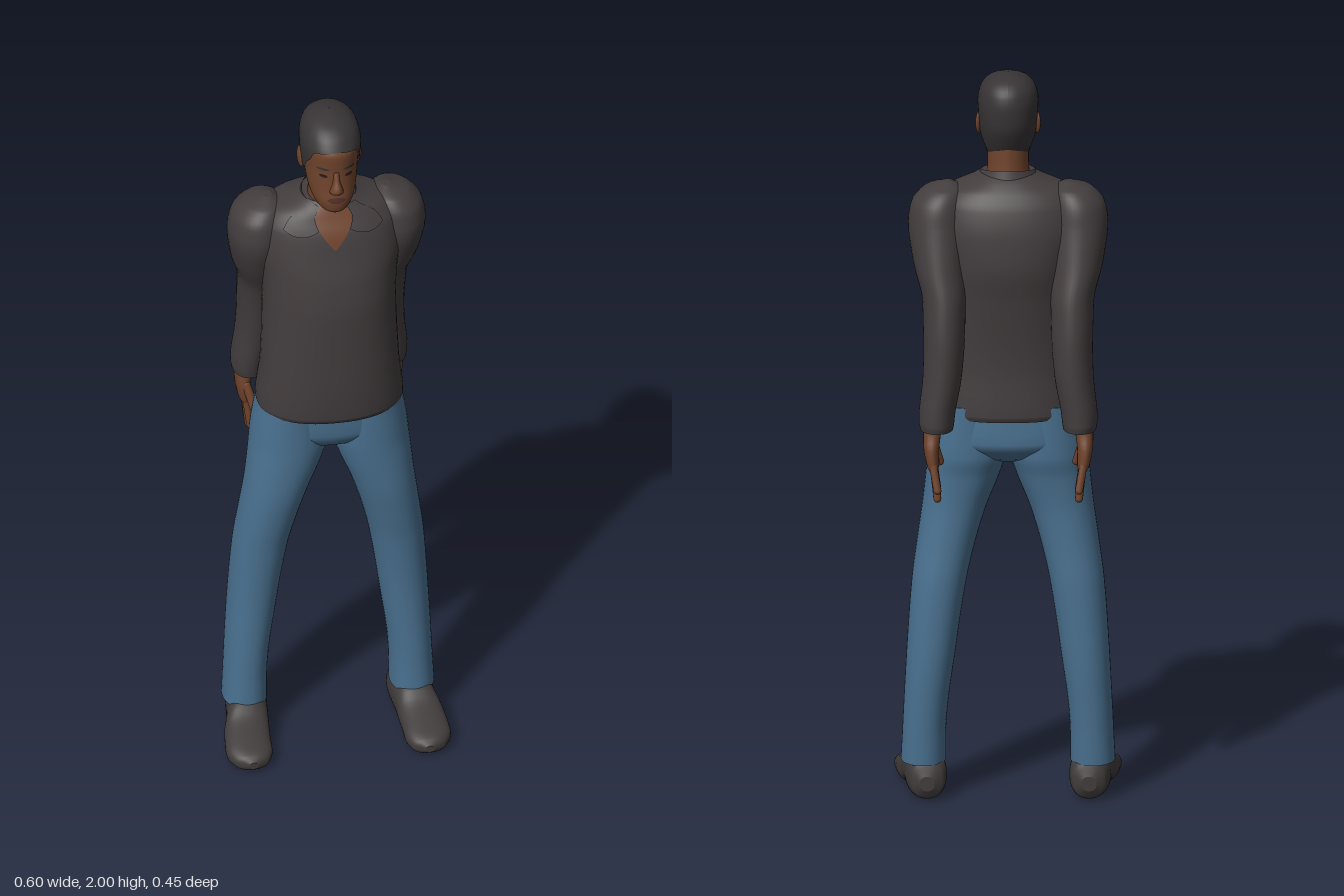
import * as THREE from 'three';

const mat = (name, color, side = THREE.FrontSide) => {
  const m = new THREE.MeshStandardMaterial({ color, side });
  m.name = name;
  return m;
};
const lerp = THREE.MathUtils.lerp;

// Section row: [y, centreX, halfWidth, zFront, zBack]; smooth monotone interpolation along y.
function sectionAt(secs, y) {
  let i = 0;
  while (i < secs.length - 2 && y > secs[i + 1][0]) i++;
  const slope = (j, k) => (secs[j + 1][k] - secs[j][k]) / (secs[j + 1][0] - secs[j][0]);
  const tangent = (j, k) => {
    if (j === 0) return slope(0, k);
    if (j === secs.length - 1) return slope(j - 1, k);
    const a = slope(j - 1, k), b = slope(j, k);
    return a * b > 0 ? (2 * a * b) / (a + b) : 0;
  };
  const h = secs[i + 1][0] - secs[i][0];
  const t = THREE.MathUtils.clamp((y - secs[i][0]) / h, 0, 1), t2 = t * t, t3 = t2 * t;
  return [1, 2, 3, 4].map((k) =>
    (2 * t3 - 3 * t2 + 1) * secs[i][k] + (t3 - 2 * t2 + t) * h * tangent(i, k) +
    (3 * t2 - 2 * t3) * secs[i + 1][k] + (t3 - t2) * h * tangent(i + 1, k));
}

// Point on the body surface; angle 0 faces the front, positive toward +x.
function surfacePoint(secs, y, a, power, offset = 0) {
  const [cx, rx, zf, zb] = sectionAt(secs, y);
  const round = (v) => Math.sign(v) * Math.abs(v) ** (2 / power);
  return [cx + (rx + offset) * round(Math.sin(a)), y,
    (zf + zb) / 2 + ((zf - zb) / 2 + offset) * round(Math.cos(a))];
}

function gridGeometry(nu, nv, closed, pointFn, caps = false) {
  const pos = [], idx = [], cols = closed ? nu : nu + 1;
  for (let j = 0; j <= nv; j++)
    for (let i = 0; i < cols; i++) pos.push(...pointFn(i / nu, j / nv));
  for (let j = 0; j < nv; j++)
    for (let i = 0; i < nu; i++) {
      const a = j * cols + i, b = j * cols + ((i + 1) % cols);
      idx.push(a, b, b + cols, a, b + cols, a + cols);
    }
  if (caps) for (const v of [0, 1]) {
    const base = pos.length / 3, c = [0, 0, 0];
    for (let i = 0; i < nu; i++) {
      const p = pointFn(i / nu, v);
      pos.push(...p);
      p.forEach((q, k) => { c[k] += q / nu; });
    }
    pos.push(...c);
    for (let i = 0; i < nu; i++) {
      const a = base + i, b = base + ((i + 1) % nu);
      idx.push(base + nu, v ? a : b, v ? b : a);
    }
  }
  const g = new THREE.BufferGeometry();
  g.setAttribute('position', new THREE.Float32BufferAttribute(pos, 3));
  g.setIndex(idx);
  g.computeVertexNormals();
  return g;
}

function loft(secs, power = 2, segments = 40) {
  const n = secs.length - 1, rows = n * 4;
  return gridGeometry(segments, rows, true, (u, v) => {
    const f = v * n, i = Math.min(n - 1, Math.floor(f));
    return surfacePoint(secs, lerp(secs[i][0], secs[i + 1][0], f - i), u * Math.PI * 2, power);
  }, true);
}

// Thin sheet lying on a lofted surface; fn maps (u, v) to [angle, y].
const patch = (secs, power, offset, fn, nu = 16, nv = 8) =>
  gridGeometry(nu, nv, false, (u, v) => {
    const [a, y] = fn(u, v);
    return surfacePoint(secs, y, a, power, offset);
  });

const mirror = (secs, s) => secs.map(([y, cx, ...r]) => [y, cx * s, ...r]);

const TORSO = [
  [1.065, 0, 0.194, 0.15, -0.125], [1.08, 0, 0.197, 0.157, -0.13], [1.2, 0, 0.185, 0.163, -0.125],
  [1.4, 0, 0.178, 0.163, -0.145], [1.5, 0, 0.185, 0.152, -0.16], [1.58, 0, 0.198, 0.132, -0.155],
  [1.65, 0, 0.19, 0.112, -0.138], [1.69, 0, 0.16, 0.09, -0.115], [1.715, 0, 0.1, 0.078, -0.09],
  [1.73, 0, 0.072, 0.068, -0.068]];
const SLEEVE = [
  [1.06, 0.19, 0.044, -0.095, -0.215], [1.08, 0.19, 0.047, -0.09, -0.219], [1.2, 0.175, 0.052, -0.065, -0.217],
  [1.3, 0.17, 0.055, -0.04, -0.212], [1.4, 0.17, 0.058, -0.008, -0.195], [1.5, 0.183, 0.07, 0.04, -0.165],
  [1.6, 0.187, 0.079, 0.07, -0.135], [1.65, 0.184, 0.074, 0.065, -0.122], [1.69, 0.172, 0.054, 0.04, -0.095],
  [1.71, 0.16, 0.012, -0.01, -0.04]];
const LEG = [
  [0.1, 0.225, 0.06, 0.07, -0.085], [0.2, 0.222, 0.058, 0.068, -0.09], [0.4, 0.205, 0.065, 0.07, -0.1],
  [0.6, 0.183, 0.073, 0.085, -0.097], [0.7, 0.165, 0.078, 0.1, -0.09], [0.8, 0.143, 0.086, 0.113, -0.087],
  [0.9, 0.118, 0.1, 0.118, -0.095], [0.96, 0.107, 0.105, 0.12, -0.108], [1.1, 0.1, 0.09, 0.125, -0.11]];
const PELVIS = [
  [0.935, 0, 0.04, 0.05, -0.05], [0.955, 0, 0.12, 0.095, -0.09], [1.0, 0, 0.198, 0.12, -0.12],
  [1.1, 0, 0.188, 0.127, -0.115]];
// Shoe sections run along z; the last two numbers are minus the bottom and top heights.
const SHOE = [
  [-0.087, 0.215, 0.02, -0.03, -0.07], [-0.07, 0.215, 0.045, -0.005, -0.11], [-0.03, 0.218, 0.055, 0, -0.128],
  [0.05, 0.226, 0.056, 0, -0.122], [0.1, 0.235, 0.061, 0, -0.09], [0.17, 0.24, 0.062, 0, -0.065],
  [0.21, 0.238, 0.045, -0.003, -0.05], [0.228, 0.237, 0.012, -0.015, -0.035]];
const HEAD = [
  [1.735, 0, 0.022, 0.122, 0.04], [1.75, 0, 0.045, 0.138, 0.0], [1.78, 0, 0.06, 0.143, -0.035],
  [1.82, 0, 0.068, 0.138, -0.06], [1.87, 0, 0.073, 0.136, -0.08], [1.92, 0, 0.076, 0.138, -0.083],
  [1.95, 0, 0.07, 0.12, -0.076], [1.975, 0, 0.053, 0.09, -0.055], [1.99, 0, 0.025, 0.045, -0.02],
  [1.993, 0, 0.004, 0.018, 0.01]];
const NECK = [
  [1.6, 0, 0.062, 0.07, -0.07], [1.7, 0, 0.06, 0.076, -0.065], [1.75, 0, 0.055, 0.085, -0.058],
  [1.81, 0, 0.055, 0.09, -0.055]];
const HAIR = HEAD.map(([y, cx, rx, zf, zb], i) => i === HEAD.length - 1
  ? [2, 0, 0.001, 0.015, 0.013] : [y + (i > 5 ? 0.004 : 0), cx, rx + 0.005, zf + 0.003, zb - 0.005]);
// Hairline height against angle from the front.
const HAIRLINE = [[0, 1.937], [0.7, 1.93], [1.0, 1.89], [1.35, 1.85], [1.8, 1.83], [2.3, 1.785], [3.15, 1.78]];

export function createModel() {
  const model = new THREE.Group();
  const shirt = mat('charcoal shirt', 0x433d3e, THREE.DoubleSide);
  const denim = mat('blue denim', 0x4a7190);
  const skin = mat('brown skin', 0x6f432c, THREE.DoubleSide);
  const hairMat = mat('dark hair', 0x383435, THREE.DoubleSide);
  const shoeMat = mat('dark shoe', 0x413c3c);
  const lipMat = mat('dark lips', 0x55302a, THREE.DoubleSide);
  const eyeMat = mat('dark eyes', 0x261a17, THREE.DoubleSide);
  const add = (name, geo, material) => {
    const m = new THREE.Mesh(geo, material);
    m.name = name;
    model.add(m);
    return m;
  };
  // Tapered rounded limb between two points, for fingers.
  const finger = (name, a, b, r) => {
    const p = new THREE.Vector3(...a), q = new THREE.Vector3(...b), d = q.clone().sub(p);
    const m = add(name, new THREE.CapsuleGeometry(r, d.length(), 4, 10), skin);
    m.position.copy(p).add(q).multiplyScalar(0.5);
    m.quaternion.setFromUnitVectors(new THREE.Vector3(0, 1, 0), d.normalize());
  };

  // Clothing and body core
  add('shirtTorso', loft(TORSO, 2.25, 48), shirt);
  add('trouserSeat', loft(PELVIS, 2.3), denim);
  add('neck', loft(NECK), skin);
  add('head', loft(HEAD, 2.15, 48), skin);

  // Open neckline, collar band and folded collar points
  const vee = (y) => 0.3 * (y - 1.61) / 0.09;
  add('openNeckline', patch(TORSO, 2.25, 0.002, (u, v) => {
    const y = lerp(1.61, 1.726, v);
    return [lerp(-1, 1, u) * vee(y), y];
  }), skin);
  const BAND = [[1.69, 0, 0.088, 0.09, -0.09], [1.72, 0, 0.078, 0.08, -0.078], [1.75, 0, 0.066, 0.07, -0.068]];
  add('collarBand', patch(BAND, 2, 0, (u, v) => {
    const a = lerp(0.55, Math.PI * 2 - 0.55, u);
    return [a, lerp(1.69, 1.735 - 0.012 * Math.cos(a), v)];
  }, 36, 4), shirt);

  // Hair cap following the hairline
  const hairline = (a) => {
    const t = Math.abs(a);
    const i = Math.max(1, HAIRLINE.findIndex((h) => h[0] >= t));
    const [p, q] = [HAIRLINE[i - 1], HAIRLINE[i]];
    return lerp(p[1], q[1], THREE.MathUtils.smoothstep(t, p[0], q[0]));
  };
  add('hair', patch(HAIR, 2.15, 0, (u, v) => {
    const a = lerp(-Math.PI, Math.PI, u);
    return [a, lerp(hairline(a), 2, Math.sin(v * Math.PI / 2))];
  }, 56, 20), hairMat);

  // Face
  add('nose', loft([
    [1.808, 0, 0.01, 0.145, 0.125], [1.815, 0, 0.019, 0.158, 0.12], [1.825, 0, 0.016, 0.163, 0.12],
    [1.85, 0, 0.009, 0.15, 0.12], [1.875, 0, 0.008, 0.138, 0.12]], 2, 16), skin);
  const spot = (name, a0, y0, w, h, m) => add(name, patch(HEAD, 2.15, 0.002, (u, v) =>
    [a0 + w * (2 * u - 1), y0 + h * (2 * v - 1) * Math.sqrt(Math.max(0.02, 1 - (2 * u - 1) ** 2))], 10, 3), m);
  spot('lips', 0, 1.787, 0.36, 0.009, lipMat);

  for (const s of [1, -1]) {
    const side = s > 0 ? 'left' : 'right';
    spot(side + 'Eye', s * 0.45, 1.862, 0.16, 0.005, eyeMat);
    spot(side + 'Eyebrow', s * 0.46, 1.884, 0.25, 0.004, hairMat);
    const ear = add(side + 'Ear', new THREE.SphereGeometry(1, 14, 10), skin);
    ear.scale.set(0.009, 0.032, 0.018);
    ear.position.set(s * 0.077, 1.858, 0.02);
    ear.rotation.set(-0.15, s * -0.3, 0);

    add(side + 'CollarPoint', patch(TORSO, 2.25, 0.005, (u, v) => {
      const y = lerp(1.665 - 0.015 * Math.sin(u * Math.PI), 1.724, v);
      return [s * lerp(vee(y), 0.75, u), y];
    }, 10, 6), shirt);

    add(side + 'Sleeve', loft(mirror(SLEEVE, s)), shirt);
    add(side + 'TrouserLeg', loft(mirror(LEG, s), 2.15), denim);
    const shoe = loft(mirror(SHOE, s), 2.4);
    shoe.rotateX(Math.PI / 2);
    add(side + 'Shoe', shoe, shoeMat);

    // Hand hanging behind the hip with spread fingers
    add(side + 'Palm', loft(mirror([
      [0.95, 0.198, 0.012, -0.13, -0.205], [0.965, 0.2, 0.017, -0.122, -0.212], [1.01, 0.204, 0.021, -0.118, -0.208],
      [1.05, 0.202, 0.024, -0.122, -0.192], [1.09, 0.198, 0.026, -0.125, -0.185]], s), 2.2, 20), skin);
    [[-0.135, -0.128, 0.885], [-0.157, -0.16, 0.867], [-0.18, -0.19, 0.875], [-0.202, -0.216, 0.905]].forEach(
      ([z0, z1, y1], i) => finger(side + 'Finger' + (i + 1), [s * 0.199, 0.968, z0], [s * 0.188, y1, z1], 0.0105));
    finger(side + 'Thumb', [s * 0.2, 1.02, -0.128], [s * 0.182, 0.955, -0.108], 0.012);
  }
  return model;
}
